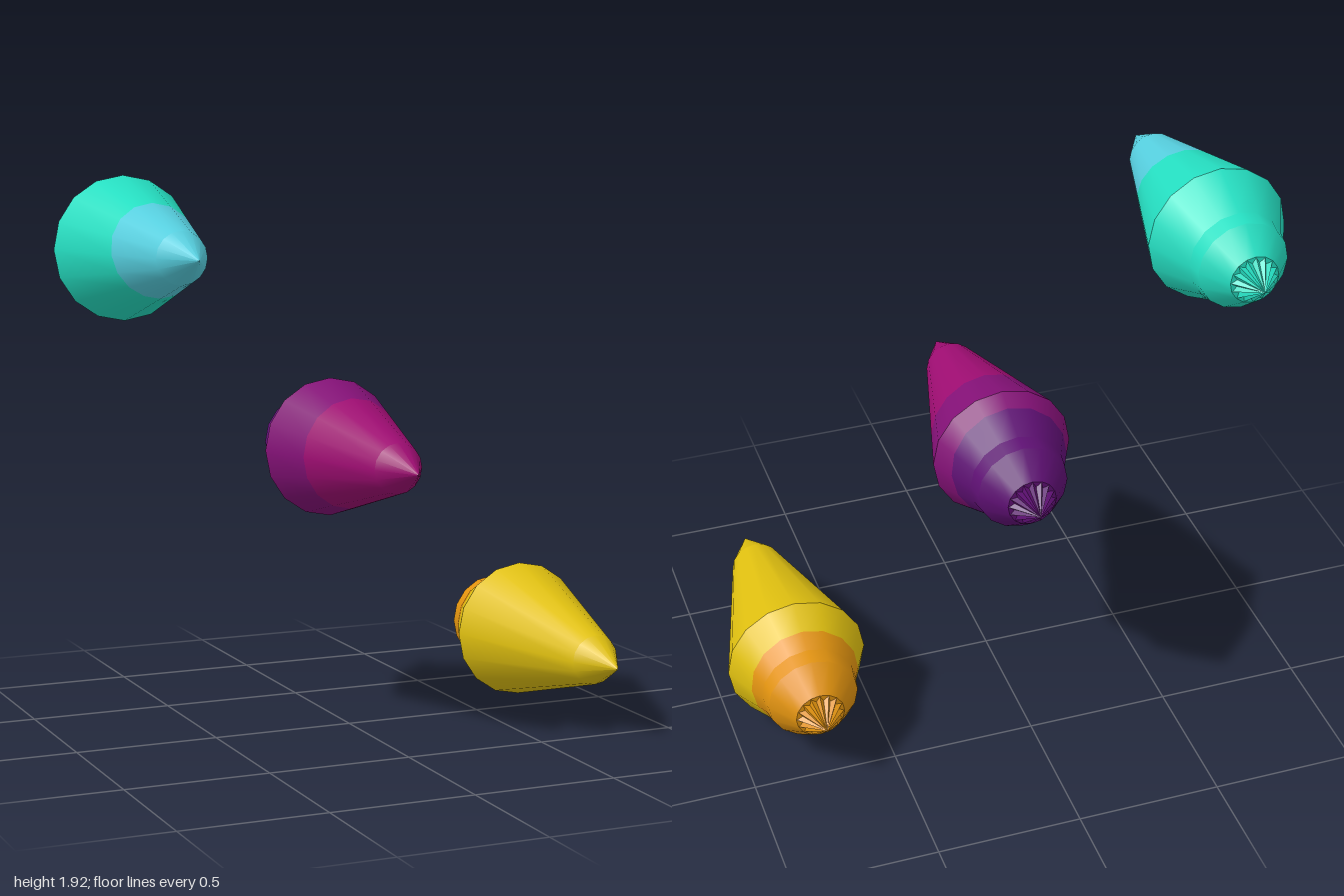
import * as THREE from 'three';

const SIDES = 16;

// Body profile along z, front to back: [z, radius]
const PROFILE = [
  [0.572, 0], [0.41, 0.087], [-0.17, 0.245], [-0.335, 0.167],
  [-0.392, 0.158], [-0.485, 0.085], [-0.487, 0.055],
];

function material(name, color) {
  const m = new THREE.MeshStandardMaterial({ color });
  m.name = name;
  return m;
}

function radiusAt(z) {
  for (let i = 0; i < PROFILE.length - 1; i++) {
    const [z0, r0] = PROFILE[i], [z1, r1] = PROFILE[i + 1];
    if (z <= z0 && z >= z1) return r0 + (r1 - r0) * (z0 - z) / (z0 - z1);
  }
  return 0;
}

// Open cone ring between two z positions; an end may be a tilted cut { z, tx, ty }
function ring(front, back) {
  const h = front.z - back.z;
  const g = new THREE.CylinderGeometry(radiusAt(front.z), radiusAt(back.z), h, SIDES, 1, true);
  g.rotateX(Math.PI / 2);
  const p = g.attributes.position;
  for (let i = 0; i < p.count; i++) {
    const end = p.getZ(i) > 0 ? front : back;
    const s = (i % (SIDES + 1)) / SIDES * Math.PI * 2;
    const dx = Math.sin(s), dy = -Math.cos(s);
    const r0 = radiusAt(end.z);
    const z = end.z + r0 * ((end.tx || 0) * dx + (end.ty || 0) * dy);
    const r = radiusAt(z);
    p.setXYZ(i, dx * r, dy * r, z);
  }
  return g;
}

// Fluted cone at the back, its rim alternating between ridges and valleys
function flutedTip() {
  const n = SIDES * 2;
  let g = new THREE.ConeGeometry(0.083, 0.087, n, 1, true);
  const p = g.attributes.position;
  for (let i = 0; i < p.count; i++) {
    if (p.getY(i) < 0 && (i % (n + 1)) % 2) {
      p.setX(i, p.getX(i) * 0.78);
      p.setZ(i, p.getZ(i) * 0.78);
    }
  }
  g.rotateX(-Math.PI / 2);
  g.translate(0, 0, -0.485 - 0.0435);
  g = g.toNonIndexed();
  g.computeVertexNormals();
  return g;
}

// One spindle; cuts are tilted colour borders from front to back
function spindle(name, x, y, mats, cuts) {
  const group = new THREE.Group();
  group.name = name;
  const stops = [...PROFILE.map(([z]) => ({ z })), ...cuts.map((c) => ({ ...c, cut: true }))]
    .sort((a, b) => b.z - a.z);
  let colour = 0;
  for (let i = 0; i < stops.length - 1; i++) {
    if (stops[i].cut) colour++;
    const mesh = new THREE.Mesh(ring(stops[i], stops[i + 1]), mats[colour]);
    mesh.name = i === 0 ? 'frontPoint' : stops[i].z > -0.17 ? 'frontCone' : 'rearCollar';
    group.add(mesh);
  }
  const tip = new THREE.Mesh(flutedTip(), mats[mats.length - 1]);
  tip.name = 'flutedTip';
  group.add(tip);
  group.position.set(x, y, 0);
  return group;
}

export function createModel() {
  const model = new THREE.Group();
  model.name = 'spindles';
  const skyBlue = material('sky blue', 0x56cfdf);
  const teal = material('teal', 0x25dfc2);
  const magenta = material('magenta', 0x9e0d72);
  const purple = material('purple', 0x841177);
  const violet = material('violet', 0x5f1074);
  const yellow = material('yellow', 0xe0c010);
  const orange = material('orange', 0xe2930f);

  model.add(
    spindle('tealSpindle', -0.755, 1.68, [skyBlue, teal], [{ z: 0.165, ty: -0.24 }]),
    spindle('purpleSpindle', 0, 0.962, [magenta, purple, violet],
      [{ z: 0.02, tx: -0.1 }, { z: -0.252, ty: 0.1 }]),
    spindle('yellowSpindle', 0.755, 0.245, [yellow, orange], [{ z: -0.285, ty: 0.08 }]),
  );
  return model;
}
